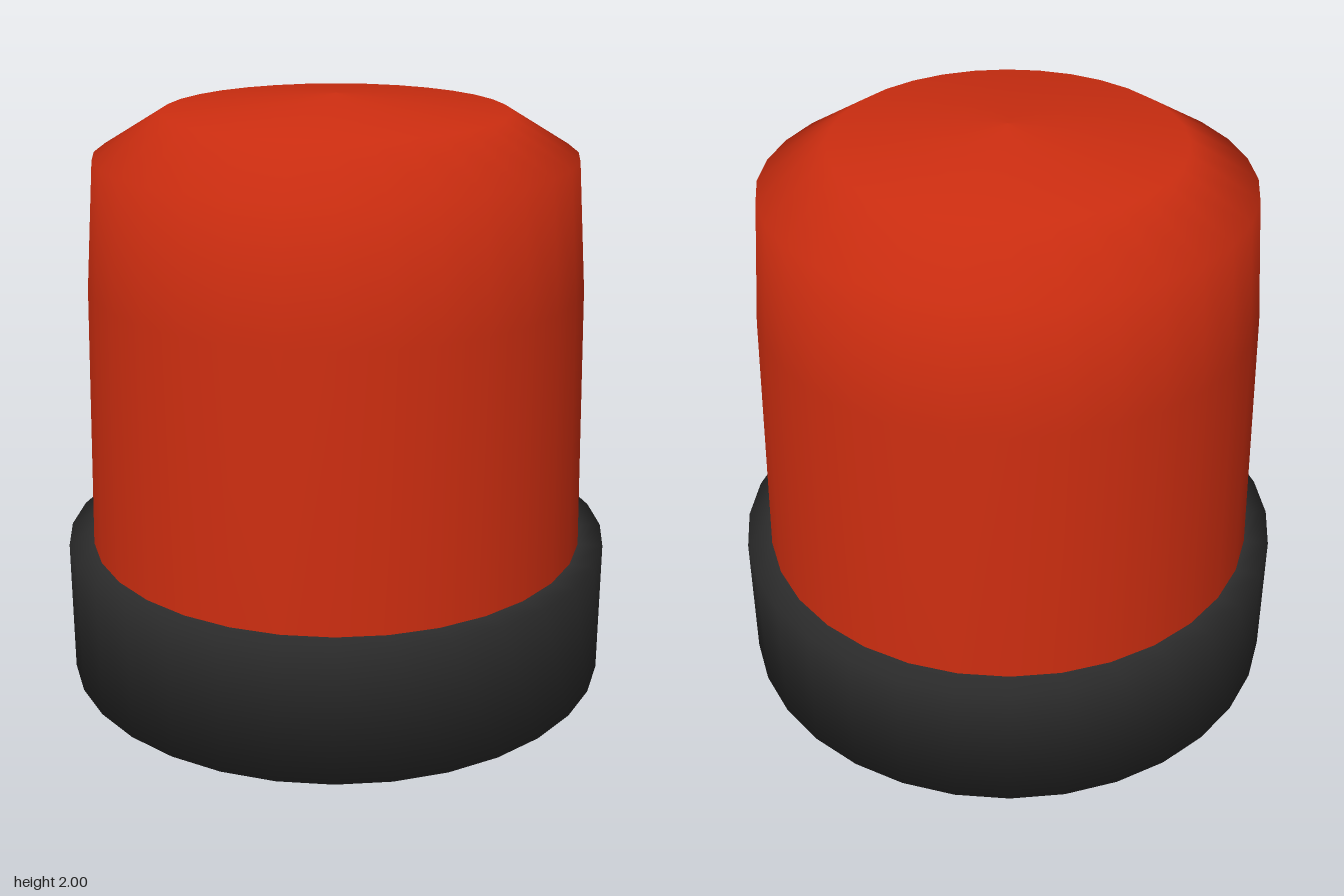
import * as THREE from 'three';

const SIDES = 32;

// Smooth turned part from [radius, height] pairs, listed from bottom to top
function turned(name, color, profile) {
  const points = profile.map(([r, y]) => new THREE.Vector2(r, y));
  const mesh = new THREE.Mesh(
    new THREE.LatheGeometry(points, SIDES),
    new THREE.MeshStandardMaterial({ color })
  );
  mesh.name = name;
  return mesh;
}

export function createModel() {
  const group = new THREE.Group();
  group.name = 'beaconLight';

  // Dark mounting base with a flat underside and rim
  group.add(turned('base', 0x2d2d2d, [
    [0, 0], [0.94, 0], [0.94, 0.467], [0.853, 0.467],
  ]));

  // Red lens, tapering up to a shallow domed top
  group.add(turned('lens', 0xcc2d10, [
    [0.855, 0.465], [0.832, 1.38], [0.8, 1.805], [0.572, 1.945], [0, 2],
  ]));

  return group;
}
